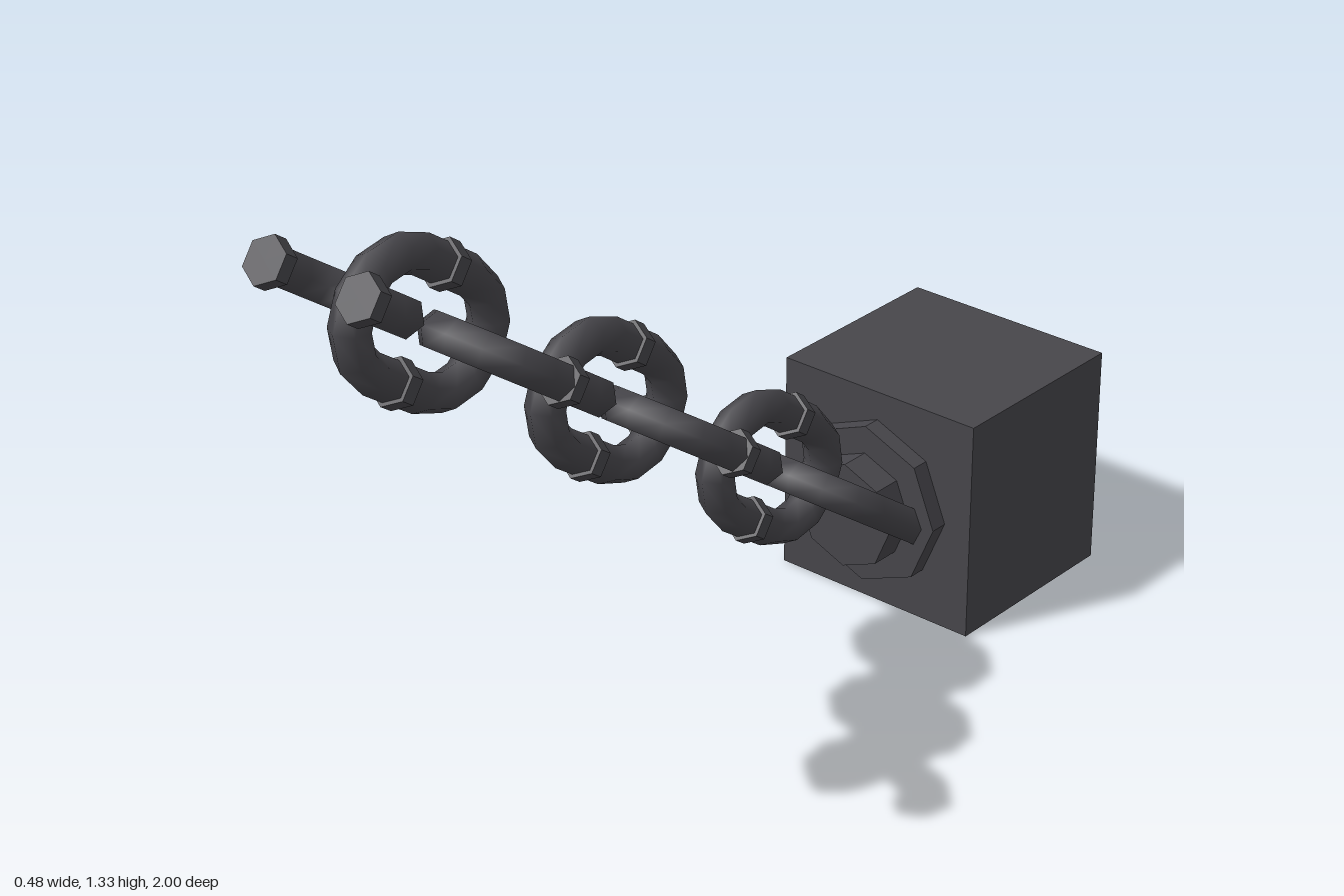
import * as THREE from 'three';
import { mergeGeometries } from 'three/addons/utils/BufferGeometryUtils.js';

const R = 0.11;        // link bend radius
const TUBE = 0.039;    // link bar radius
const HALF = 0.07;     // half of a link's straight part
const STEP = 0.289;    // distance between link centres

export function createModel() {
  const model = new THREE.Group();
  const iron = new THREE.MeshStandardMaterial({ color: 0x47464b });
  iron.name = 'darkIron';
  const sheet = new THREE.MeshStandardMaterial({ color: 0x47464b, side: THREE.DoubleSide });
  sheet.name = 'darkIronSheet';
  const hard = new THREE.MeshStandardMaterial({ color: 0x47464b, flatShading: true });
  hard.name = 'darkIronFaceted';

  const add = (parent, name, geometry, material) => {
    const mesh = new THREE.Mesh(geometry, material);
    mesh.name = name;
    parent.add(mesh);
    return mesh;
  };

  // Wall block: a box shell without its back face
  const shell = new THREE.BoxGeometry(0.48, 0.48, 0.44);
  shell.setIndex(Array.from(shell.index.array).slice(0, 30));
  shell.translate(0, 0.24, -0.78);
  add(model, 'wallBlock', shell, sheet);

  // Two stepped octagonal plates on its front
  const plate = (name, radius, z0, z1) => {
    const g = new THREE.CylinderGeometry(radius, radius, z1 - z0, 8);
    g.rotateX(Math.PI / 2).translate(0, 0.24, (z0 + z1) / 2);
    add(model, name, g, hard);
  };
  plate('basePlate', 0.178, -0.559, -0.52);
  plate('bossPlate', 0.117, -0.53, -0.455);

  // Half-round bend at one end of a link (end = 1 or -1)
  const bend = (end) => {
    const g = new THREE.TorusGeometry(R, TUBE, 6, 6, Math.PI);
    if (end < 0) g.rotateZ(Math.PI);
    return g.translate(0, end * HALF, 0);
  };
  // Straight six-sided bar on one side of a link
  const bar = (side, y0, y1) => new THREE.CylinderGeometry(
    TUBE, TUBE, y1 - y0, 6, 1, true, Math.PI / 2).translate(side * R, (y0 + y1) / 2, 0);

  const linkGeometry = (ends, y0, y1) => mergeGeometries([
    ...ends.map(bend), bar(-1, y0, y1), bar(1, y0, y1)]);

  // Chain: local y runs along it, alternate links are turned a quarter
  const chain = new THREE.Group();
  chain.name = 'chain';
  chain.position.set(0, 0.28, -0.454);
  chain.rotation.x = Math.atan2(0.817, 0.577);
  model.add(chain);

  for (let i = 0; i <= 6; i++) {
    const link = new THREE.Group();
    link.name = 'link' + (i + 1);
    link.position.y = i * STEP;
    chain.add(link);

    const upright = i % 2 === 1;
    let g;
    if (i === 0) g = linkGeometry([1], -0.105, HALF);      // anchored in the plates
    else if (i === 6) g = linkGeometry([-1], -HALF, 0);    // broken open
    else g = linkGeometry([1, -1], -HALF, HALF);
    if (upright) g.rotateY(Math.PI / 2);
    add(link, 'linkBar', g, iron);

    // Hexagonal collars round the straight parts
    if (i > 0) {
      for (const side of [-1, 1]) {
        const collar = add(link, 'collar', new THREE.CylinderGeometry(0.047, 0.047, 0.03, 6), hard);
        collar.position.set(upright ? 0 : side * R, 0, upright ? side * R : 0);
      }
    }
  }
  return model;
}
